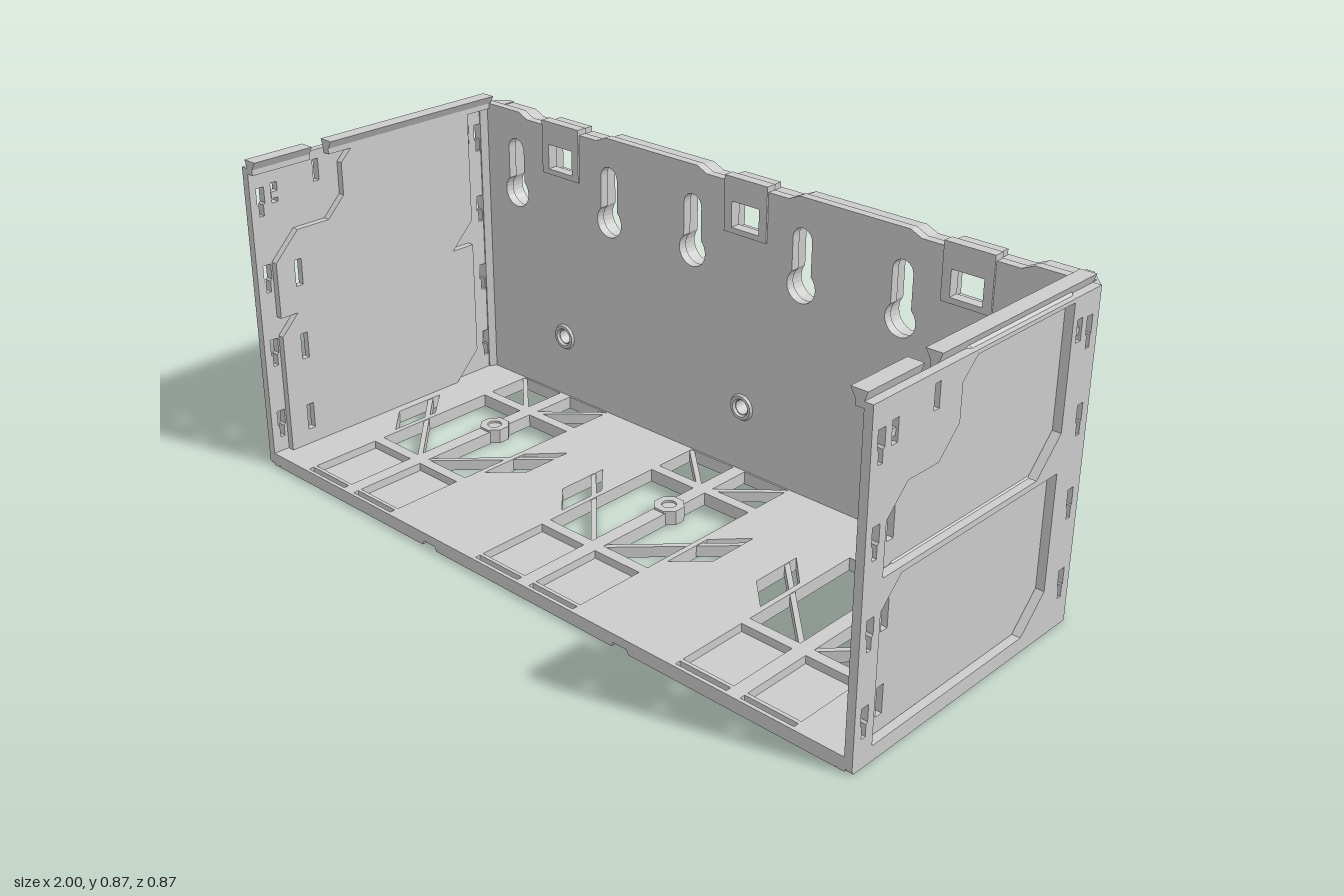
import * as THREE from 'three';

const mat = new THREE.MeshStandardMaterial({ color: 0xcccccc, flatShading: true, side: THREE.DoubleSide });
const rect = (x0, y0, x1, y1) => [[x0, y0], [x1, y0], [x1, y1], [x0, y1]];
const circle = (x, y, r, n = 20) =>
  Array.from({ length: n }, (_, i) => [x + r * Math.cos((i + 0.5) / n * 2 * Math.PI), y + r * Math.sin((i + 0.5) / n * 2 * Math.PI)]);
const toV = (pts) => pts.map(([x, y]) => new THREE.Vector2(x, y));

// Flat plate with cut-outs, extruded along local +z
function plate(outline, holes, depth) {
  const shape = new THREE.Shape(toV(outline));
  for (const h of holes) shape.holes.push(new THREE.Path(toV(h)));
  return new THREE.ExtrudeGeometry(shape, { depth, bevelEnabled: false });
}
// Large round hole with a narrower slot above it
function keyhole(x, y, R, r, top) {
  const pts = [], a = Math.asin(r / R);
  for (let i = 0; i <= 18; i++) {
    const t = Math.PI / 2 + a + i / 18 * (2 * Math.PI - 2 * a);
    pts.push([x + R * Math.cos(t), y + R * Math.sin(t)]);
  }
  for (let i = 0; i <= 10; i++) {
    const t = i / 10 * Math.PI;
    pts.push([x + r * Math.cos(t), top - r + r * Math.sin(t)]);
  }
  return pts;
}
// Polygon moved inward by d with mitred corners (clockwise outline)
function inset(pts, d) {
  const n = pts.length;
  return pts.map((p, i) => {
    const a = pts[(i + n - 1) % n], b = pts[(i + 1) % n];
    const u = new THREE.Vector2(p[0] - a[0], p[1] - a[1]).normalize();
    const v = new THREE.Vector2(b[0] - p[0], b[1] - p[1]).normalize();
    const k = d / (1 + u.dot(v));
    return [p[0] + (u.y + v.y) * k, p[1] - (u.x + v.x) * k];
  });
}

export function createModel() {
  const root = new THREE.Group();
  const add = (name, geo, parent = root) => {
    const m = new THREE.Mesh(geo, mat);
    m.name = name;
    parent.add(m);
    return m;
  };
  const box = (name, x0, x1, y0, y1, z0, z1) =>
    add(name, new THREE.BoxGeometry(x1 - x0, y1 - y0, z1 - z0).translate((x0 + x1) / 2, (y0 + y1) / 2, (z0 + z1) / 2));
  const centres = [-0.667, 0, 0.667];
  const keys = centres.flatMap((c) => [c - 0.182, c + 0.182]);

  // Back wall: inner skin, then a ribbed outer layer
  const wallOutline = (w, y0, y1) => {
    const p = [[-w, y0], [w, y0], [w, y1]];
    for (const c of [...centres].reverse())
      p.push([c + 0.168, y1], [c + 0.135, y1 - 0.015], [c - 0.135, y1 - 0.015], [c - 0.168, y1]);
    return [...p, [-w, y1]];
  };
  const skinHoles = [], ribHoles = [];
  for (const k of keys) {
    skinHoles.push(keyhole(k, 0.615, 0.045, 0.03, 0.77));
    ribHoles.push(keyhole(k, 0.615, 0.05, 0.04, 0.78));
    ribHoles.push([[k - 0.065, 0.02], [k + 0.065, 0.02], [k + 0.065, 0.55], [k + 0.03, 0.51], [k - 0.03, 0.51], [k - 0.065, 0.55]]);
  }
  for (const c of centres) {
    skinHoles.push(rect(c - 0.045, 0.715, c + 0.045, 0.785), circle(c, 0.22, 0.02));
    ribHoles.push(rect(c - 0.06, 0.7, c + 0.06, 0.815), circle(c, 0.22, 0.022));
    ribHoles.push([[c - 0.03, 0.28], [c + 0.03, 0.28], [c + 0.04, 0.3], [c + 0.04, 0.66], [c + 0.03, 0.68], [c - 0.03, 0.68], [c - 0.04, 0.66], [c - 0.04, 0.3]]);
    for (const s of [-1, 1]) ribHoles.push(rect(c + s * 0.085 - 0.012, 0.03, c + s * 0.085 + 0.012, 0.8));
  }
  for (const g of [-0.333, 0.333]) ribHoles.push(rect(g - 0.03, 0.015, g + 0.03, 0.83));
  add('backSkin', plate(wallOutline(0.975, 0, 0.85), skinHoles, 0.025).translate(0, 0, -0.395));
  add('backRibs', plate(wallOutline(0.94, 0.005, 0.845), ribHoles, 0.04).translate(0, 0, -0.435));

  // Sloping feet at the bottom of the rear channels
  for (const k of keys)
    add('channelFoot', plate([[-0.435, 0.02], [-0.39, 0.02], [-0.39, 0.085], [-0.43, 0.05]], [], 0.13)
      .rotateY(-Math.PI / 2).translate(k + 0.065, 0, 0));

  // Clip sockets and screw collars on the back wall
  for (const c of centres) {
    add('clipSocket', plate(rect(c - 0.07, 0.7, c + 0.07, 0.85), [rect(c - 0.045, 0.715, c + 0.045, 0.785)], 0.03).translate(0, 0, -0.395));
    box('clipCap', c - 0.06, c + 0.06, 0.8, 0.845, -0.43, -0.39);
    add('screwCollar', new THREE.TorusGeometry(0.03, 0.008, 6, 20).translate(c, 0.22, -0.37));
  }

  // Chamfered rear corners
  for (const s of [-1, 1])
    add('cornerPost', plate([[0.925, -0.37], [0.925, -0.435], [0.945, -0.435], [1, -0.375], [1, -0.35], [0.975, -0.35], [0.965, -0.37]]
      .map(([x, z]) => [s * x, z]), [], 0.846).rotateX(Math.PI / 2).translate(0, 0.848, 0));

  // Side walls, outlines given as (z, y)
  const panels = [
    [[0.37, 0.445], [0.37, 0.575], [0.305, 0.64], [0.203, 0.64], [0.138, 0.705], [0.138, 0.795], [0.09, 0.84], [-0.27, 0.84], [-0.27, 0.53], [-0.185, 0.445]],
    [[0.37, 0.04], [0.37, 0.365], [0.305, 0.43], [-0.27, 0.43], [-0.27, 0.125], [-0.185, 0.04]],
  ];
  const slot = (z, y) => [[z - 0.007, y - 0.04], [z + 0.007, y - 0.04], [z + 0.007, y - 0.01], [z + 0.012, y - 0.005],
    [z + 0.012, y + 0.038], [z - 0.012, y + 0.038], [z - 0.012, y - 0.005], [z - 0.007, y - 0.01]];
  const sideHoles = [rect(0.216, 0.765, 0.234, 0.825)];
  for (const y of [0.752, 0.54, 0.328, 0.117]) {
    sideHoles.push(slot(0.403, y), slot(-0.34, y));
    if (y < 0.7) sideHoles.push(rect(0.309, y - 0.038, 0.331, y + 0.036));
  }
  for (const z of [0.36, -0.298]) sideHoles.push(rect(z - 0.01, 0.74, z + 0.01, 0.795));
  const wall = [[-0.375, 0], [0.43, 0], [0.435, 0.01], [0.435, 0.85], [-0.375, 0.85]];
  // Everything cut in the (z, y) plane is turned to face along x
  const sideways = (geo, x) => geo.rotateY(-Math.PI / 2).translate(x, 0, 0);
  for (const s of [-1, 1]) {
    const side = new THREE.Group();
    side.name = s > 0 ? 'leftWall' : 'rightWall';
    root.add(side);
    // A slot that overlaps a panel's bevel is left out of the frame
    const frameHoles = sideHoles.filter((h) => !(h[0][0] > 0.3 && h[0][0] < 0.32));
    add('wallFrame', sideways(plate(wall, [...panels, ...frameHoles], 0.022), s > 0 ? 1 : -0.978), side);
    for (const p of panels) {
      const inner = inset(p, 0.018), n = p.length;
      // Sloped rims of the recessed panel, outside and inside
      for (const [x0, x1] of [[1, 0.976], [0.978, 0.957]]) {
        const pos = [], idx = [];
        for (let i = 0; i < n; i++) {
          pos.push(s * x0, p[i][1], p[i][0], s * x1, inner[i][1], inner[i][0]);
          const a = 2 * i, b = 2 * ((i + 1) % n);
          idx.push(...(s > 0 === x0 === 1 ? [a, b, a + 1, b, b + 1, a + 1] : [a, a + 1, b, b, a + 1, b + 1]));
        }
        const g = new THREE.BufferGeometry();
        g.setAttribute('position', new THREE.Float32BufferAttribute(pos, 3));
        g.setIndex(idx);
        g.computeVertexNormals();
        add('panelRim', g, side);
      }
      const lowEdge = p[0][1], highEdge = lowEdge < 0.2 ? 0.4 : 0.6;
      const cuts = sideHoles.filter((h) => h[0][0] > 0.3 && h[0][0] < 0.32 && h[0][1] > lowEdge && h[0][1] < highEdge);
      add('recessedPanel', sideways(plate(inner, cuts, 0.019), s > 0 ? 0.976 : -0.957), side);
    }
    // Flared stacking rail along the top, in two lengths
    for (const [z0, z1] of [[0.255, 0.435], [-0.375, 0.195]])
      add('topRail', plate([[0.957, 0.835], [0.98, 0.835], [0.978, 0.85], [0.986, 0.872], [0.944, 0.872], [0.957, 0.85]]
        .map(([x, y]) => [s * x, y]), [], z1 - z0).translate(0, 0, z0), side);
    // Small latch bars inside the hook pockets
    for (const z of [0.36, -0.298])
      add('latchBar', new THREE.BoxGeometry(0.018, 0.018, 0.022).translate(s * 0.985, 0.762, z), side);
  }

  // Floor, outlines given as (x, z): ribbed upper layer and thin lower layer
  const topCuts = [], floorFront = 0.435;
  for (const c of centres) {
    const cuts = [], trays = [];
    for (const s of [-1, 1]) {
      const m = (pts) => pts.map(([x, z]) => [c + s * x, z]);
      cuts.push(m(rect(0.02, -0.365, 0.17, -0.235)), m(rect(0.02, -0.205, 0.17, 0.17)), m(rect(0.02, 0.41, 0.17, 0.425)));
      cuts.push(m([[0.185, -0.03], [0.265, -0.115], [0.265, 0.035], [0.185, 0.115]]));
      trays.push(m(rect(0.02, 0.2, 0.17, 0.4)));
      // Diagonal braces across the openings
      for (const [x0, z0, x1, z1] of [[0.175, -0.37, 0.015, -0.225], [0.27, -0.085, 0.01, 0.175]]) {
        const len = Math.hypot(x1 - x0, z1 - z0);
        add('floorBrace', new THREE.BoxGeometry(len, 0.03, 0.014)
          .rotateY(-Math.atan2(z1 - z0, s * (x1 - x0))).translate(c + s * (x0 + x1) / 2, 0.019, (z0 + z1) / 2));
      }
    }
    topCuts.push(...cuts, ...trays);
    add('floorUnderside', plate(rect(c - 0.29, -0.38, c + 0.29, floorFront), cuts, 0.014).rotateX(Math.PI / 2).translate(0, 0.014, 0));
    // Octagonal screw hub on the middle rib
    add('floorHub', plate(circle(c, -0.09, 0.042, 8), [circle(c, -0.09, 0.02, 12)], 0.04).rotateX(Math.PI / 2).translate(0, 0.042, 0));
  }
  add('floor', plate(rect(-0.98, -0.38, 0.98, floorFront), topCuts, 0.024).rotateX(Math.PI / 2).translate(0, 0.036, 0));

  // Dovetail runners under the floor, beside the seams and the outer edges
  for (const x of [-0.97, -0.37, -0.297, 0.297, 0.37, 0.97])
    add('floorRunner', plate([[x - 0.01, 0], [x + 0.01, 0], [x + 0.02, 0.022], [x - 0.02, 0.022]], [], 0.81).translate(0, 0, -0.375));
  return root;
}
